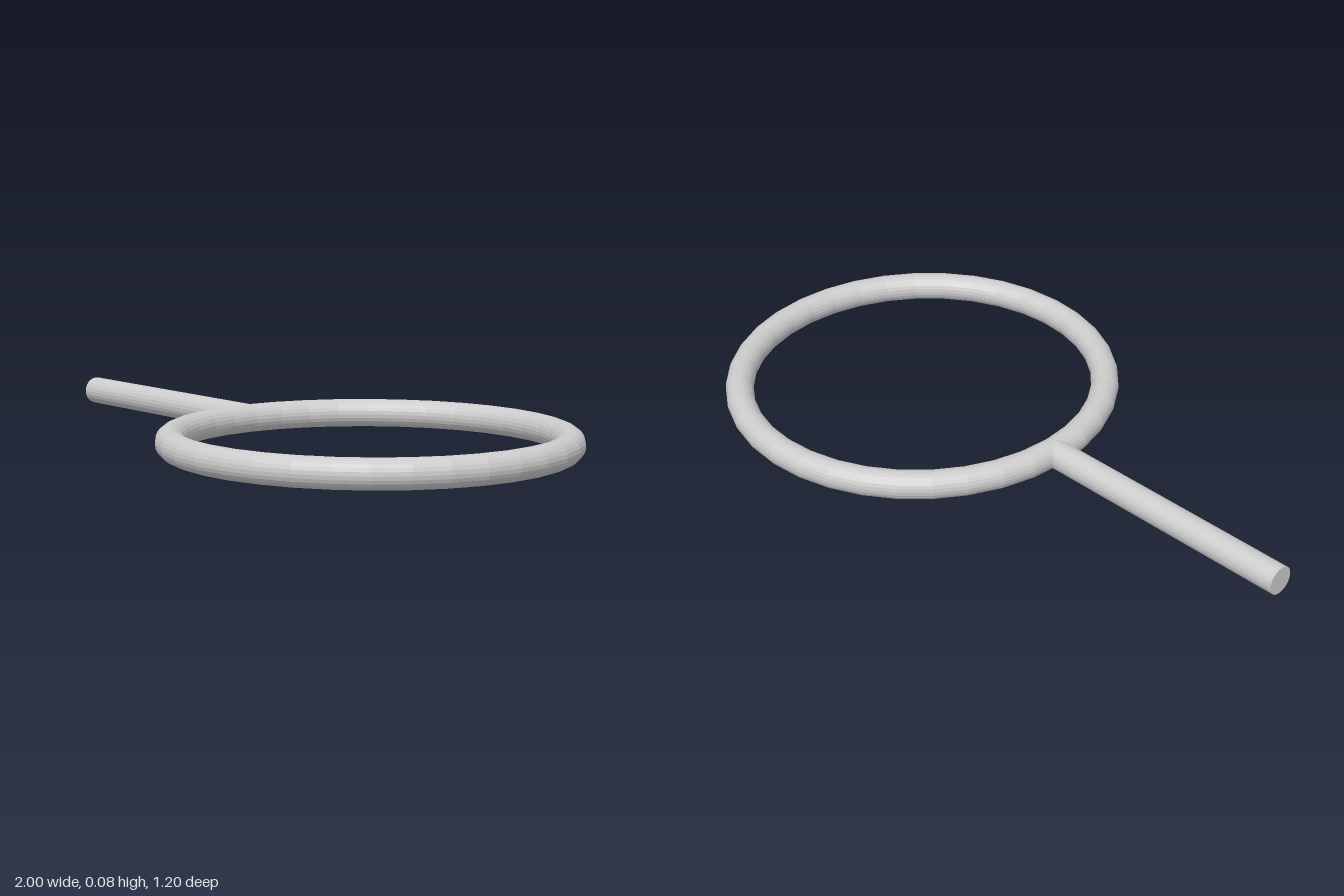
import * as THREE from 'three';

export function createModel() {
  const group = new THREE.Group();
  const material = new THREE.MeshStandardMaterial({ color: 0xcccccc, flatShading: true });
  const r = 0.042; // rod radius shared by ring and handle
  const ringX = 0.4;
  const ringRadius = 0.6 - r;

  // Round hoop lying flat
  const ring = new THREE.Mesh(new THREE.TorusGeometry(ringRadius, r, 24, 36), material);
  ring.name = 'ring';
  ring.rotation.x = -Math.PI / 2;
  ring.position.set(ringX, r, 0);
  group.add(ring);

  // Straight rod running from the far end into the core of the hoop
  const start = -1;
  const end = ringX - ringRadius;
  const handle = new THREE.Mesh(new THREE.CylinderGeometry(r, r, end - start, 24), material);
  handle.name = 'handle';
  handle.rotation.z = Math.PI / 2;
  handle.position.set((start + end) / 2, r, 0);
  group.add(handle);

  return group;
}
